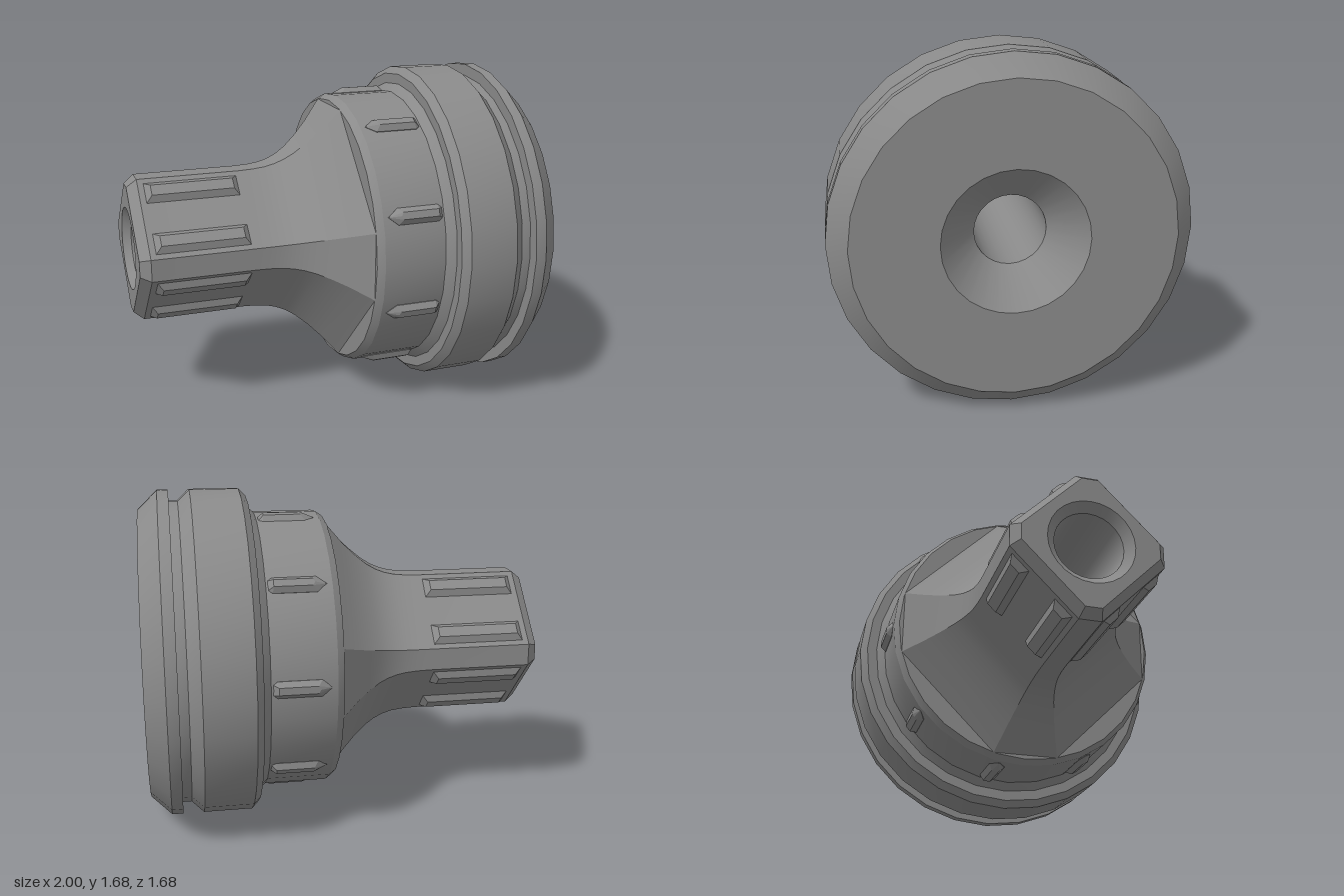
import * as THREE from 'three';
import { toCreasedNormals } from 'three/addons/utils/BufferGeometryUtils.js';
import { ConvexGeometry } from 'three/addons/geometries/ConvexGeometry.js';

const AXIS_Y = 0.838;
const SIDES = 28;

// Octagon (a square with cut corners) around the x axis: corner distance r, half width w
function octagon(r, w) {
  const pts = [];
  for (let i = 0; i < 4; i++) {
    const a = (i * Math.PI) / 2;
    for (const s of [-w, w]) {
      pts.push([r * Math.cos(a) - s * Math.sin(a), r * Math.sin(a) + s * Math.cos(a)]);
    }
  }
  return pts;
}

// Skin through octagon sections [x, r, w]
function loft(sections) {
  const pos = [];
  const index = [];
  sections.forEach(([x, r, w], s) => {
    octagon(r, w).forEach(([y, z], i) => {
      pos.push(x, y, z);
      if (s < sections.length - 1) {
        const a = s * 8 + i, b = s * 8 + ((i + 1) % 8);
        index.push(a, b, a + 8, b, b + 8, a + 8);
      }
    });
  });
  const g = new THREE.BufferGeometry();
  g.setAttribute('position', new THREE.Float32BufferAttribute(pos, 3));
  g.setIndex(index);
  return toCreasedNormals(g, 0.45);
}

// Box whose top is inset on all four sides
function bevelledPlate(length, width, height, inset) {
  const g = new THREE.BoxGeometry(length, height, width);
  const p = g.attributes.position;
  for (let i = 0; i < p.count; i++) {
    if (p.getY(i) > 0) {
      p.setX(i, p.getX(i) - Math.sign(p.getX(i)) * inset);
      p.setZ(i, p.getZ(i) - Math.sign(p.getZ(i)) * inset);
    }
  }
  g.translate(0, height / 2, 0);
  g.computeVertexNormals();
  return g;
}

export function createModel() {
  const model = new THREE.Group();
  const body = new THREE.Group();
  body.name = 'body';
  body.position.y = AXIS_Y;
  model.add(body);
  const mat = new THREE.MeshStandardMaterial({ color: 0x8a8a8a });
  const add = (name, geometry, parent = body) => {
    const mesh = new THREE.Mesh(geometry, mat);
    mesh.name = name;
    parent.add(mesh);
    return mesh;
  };

  // Collar, grooved head, countersink and through bore as [x, radius]
  const profile = [
    [0.07, 0.3], [0.07, 0.69], [0.105, 0.714], [0.42, 0.714], [0.46, 0.752],
    [0.46, 0.803], [0.495, 0.838], [0.74, 0.838], [0.8, 0.78], [0.845, 0.78],
    [0.845, 0.838], [0.9, 0.838], [1, 0.742], [1, 0.34], [0.83, 0.168],
    [-0.96, 0.168], [-1, 0.21],
  ].map(([x, r]) => new THREE.Vector2(r, x));
  const head = new THREE.LatheGeometry(profile, SIDES);
  head.rotateZ(-Math.PI / 2);
  add('headAndBore', toCreasedNormals(head, 0.4));

  // Square shaft with cut corners and a chamfered end, flaring out to the collar
  const endSection = [0.33, 0.04];
  const flare = [
    [-0.43, 0.37], [-0.36, 0.373], [-0.3, 0.38], [-0.25, 0.393], [-0.2, 0.414],
    [-0.15, 0.445], [-0.086, 0.498], [-0.02, 0.563], [0.07, 0.668],
  ].map(([x, r]) => [x, r, 0.055 + (r - 0.37) * 0.385]);
  add('shaft', loft([[-1, ...endSection], [-0.95, 0.37, 0.055], ...flare]));

  // Shaft end face with the bore opening
  const endShape = new THREE.Shape(octagon(...endSection).map(([y, z]) => new THREE.Vector2(z, y)));
  const opening = [];
  for (let i = 0; i < SIDES; i++) {
    const a = (i / SIDES) * Math.PI * 2;
    opening.push(new THREE.Vector2(0.21 * Math.cos(a), 0.21 * Math.sin(a)));
  }
  endShape.holes.push(new THREE.Path(opening));
  const end = new THREE.ShapeGeometry(endShape);
  end.rotateY(-Math.PI / 2);
  end.translate(-1, 0, 0);
  add('shaftEnd', end);

  // Two raised pads on each of the four shaft faces
  const faceDistance = (0.37 + 0.055) / Math.SQRT2;
  for (let i = 0; i < 4; i++) {
    const face = new THREE.Group();
    face.name = 'shaftPads';
    face.rotation.x = Math.PI / 4 + (i * Math.PI) / 2;
    body.add(face);
    for (const z of [-0.14, 0.14]) {
      add('pad', bevelledPlate(0.468, 0.113, 0.028, 0.028), face)
        .position.set(-0.687, faceDistance - 0.0005, z);
    }
  }

  // Nine grip ribs around the collar, pointed towards the shaft
  const ribPoints = [];
  const ribRing = (y, pts) => pts.forEach(([x, z]) => {
    ribPoints.push(new THREE.Vector3(x, y, z));
    if (z) ribPoints.push(new THREE.Vector3(x, y, -z));
  });
  ribRing(0.69, [[0.13, 0], [0.18, 0.041], [0.39, 0.041], [0.41, 0.025]]);
  ribRing(0.712, [[0.13, 0], [0.18, 0.041], [0.39, 0.041], [0.41, 0.025]]);
  ribRing(0.738, [[0.19, 0], [0.2, 0.018], [0.385, 0.018]]);
  const rib = new ConvexGeometry(ribPoints);
  for (let i = 0; i < 9; i++) {
    add('gripRib', rib).rotation.x = -Math.PI / 2 + (i * Math.PI * 2) / 9;
  }

  return model;
}
